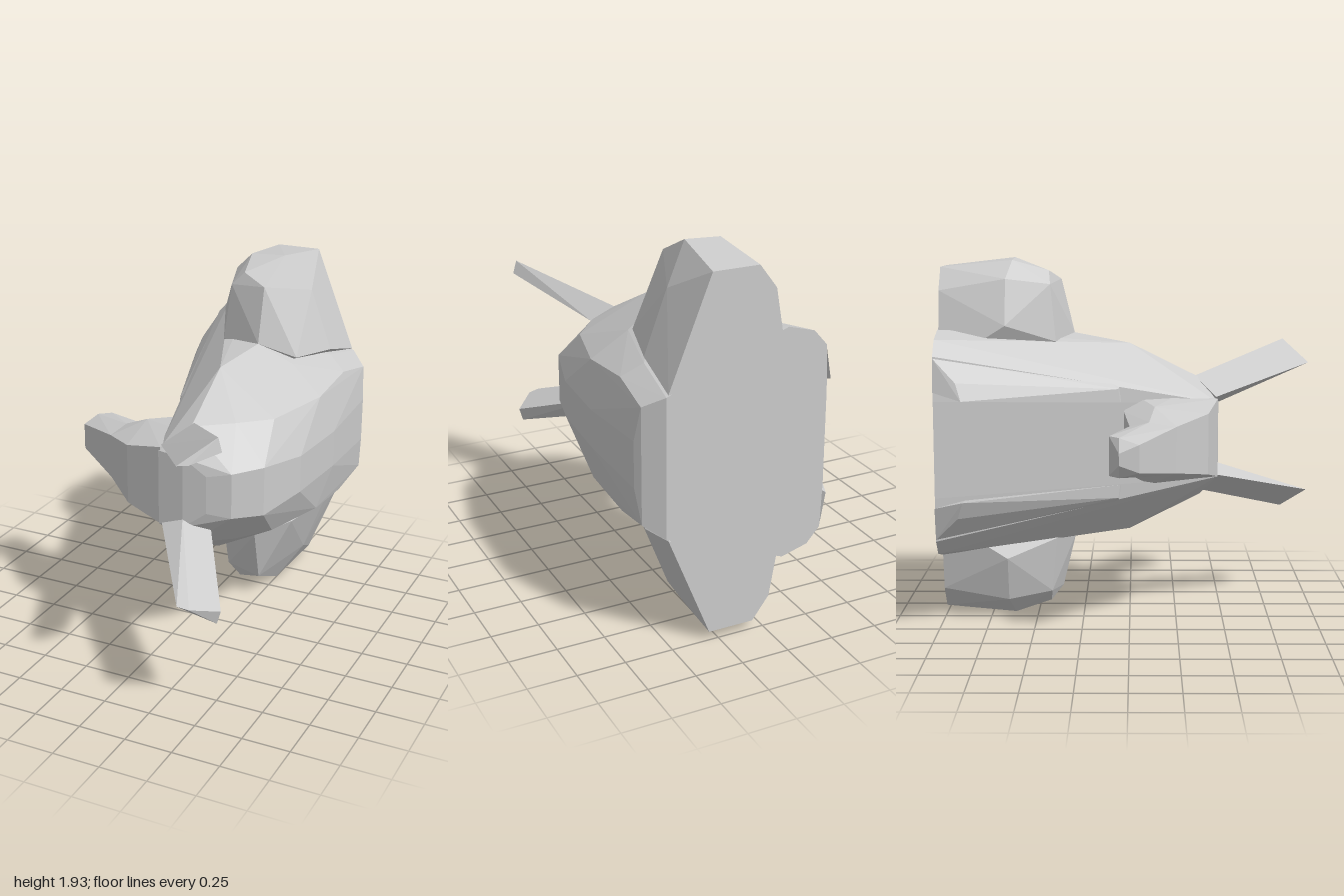
import * as THREE from 'three';
import { ConvexGeometry } from 'three/addons/geometries/ConvexGeometry.js';

const material = new THREE.MeshStandardMaterial({ color: 0xcccccc, flatShading: true });

// Points are [x, half width, z]; side 1 lies above the centre height, -1 below
const oneSide = (list, centre, side) =>
  list.map(([x, h, z]) => new THREE.Vector3(x, centre + side * h, z));

const mirrored = (list, centre) =>
  [...oneSide(list, centre, 1), ...oneSide(list, centre, -1)];

// Faceted solid around a set of corner points
function solid(name, points) {
  const mesh = new THREE.Mesh(new ConvexGeometry(points), material);
  mesh.name = name;
  return mesh;
}

export function createModel() {
  const group = new THREE.Group();
  const mid = 0.965;
  const earMid = 0.985;

  // Rounded skull and neck, cut flat at the back
  group.add(solid('headAndNeck', mirrored([
    [0.04, 0.2, 0.47], [0.18, 0.19, 0.48], [0.3, 0.1, 0.46], [0.42, 0.12, 0.42],
    [0.18, 0.32, 0.38], [0.36, 0.32, 0.24], [0.54, 0.13, 0.29], [0.5, 0.31, 0.08],
    [0.08, 0.33, 0.22], [0.16, 0.51, 0], [0.24, 0.56, -0.3], [0.02, 0.52, -0.39],
    [0.42, 0.46, -0.35], [0.6, 0.32, -0.3], [0.65, 0.1, -0.4], [0.62, 0.1, 0],
    [0.5, 0.42, -0.7], [0.6, 0.35, -0.65], [0.64, 0.12, -0.88], [0.62, 0.3, -0.92],
    [0.53, 0.36, -1], [0.52, 0.1, -1],
    [-0.32, 0.25, -1], [-0.31, 0.48, -1], [-0.24, 0.56, -1], [-0.1, 0.6, -1],
    [0, 0.12, -0.05], [0.02, 0.33, -0.03],
  ], mid)));

  // Cheeks and tapered nose
  group.add(solid('cheeks', mirrored([
    [-0.36, 0.12, 0.24], [-0.34, 0.14, 0.1], [-0.28, 0.11, 0], [-0.17, 0.16, 0.41],
    [-0.2, 0.2, 0.13], [-0.1, 0.16, -0.03], [0.05, 0.21, 0.47], [0.12, 0.24, 0],
    [0.12, 0.24, 0.3],
  ], mid + 0.01)));
  group.add(solid('nose', mirrored([
    [-0.65, 0.03, -0.05], [-0.63, 0.07, 0.05], [-0.6, 0.1, -0.05], [-0.54, 0.1, -0.1],
    [-0.36, 0.12, 0.24], [-0.34, 0.14, 0.1], [-0.28, 0.11, 0],
  ], mid + 0.01)));

  for (const [side, prefix] of [[1, 'upper'], [-1, 'lower']]) {
    // Ridge running from the cheek down the chest, leaving a groove between the pair
    group.add(solid(prefix + 'ChestRidge', oneSide([
      [-0.39, 0.26, -0.85], [-0.36, 0.35, -0.88], [-0.31, 0.43, -0.92], [-0.34, 0.3, -1],
      [-0.26, 0.27, -0.85], [-0.1, 0.22, -0.05], [-0.1, 0.29, -0.06], [0.1, 0.42, 0],
      [0.02, 0.5, -0.3], [0.05, 0.24, 0], [-0.31, 0.47, -1],
    ], mid, side)));

    // Slender ear
    group.add(solid(prefix + 'Ear', oneSide([
      [0.05, 0.21, 0.46], [0.17, 0.16, 0.46], [0.18, 0.31, 0.35], [0.3, 0.23, 0.4],
      [0.55, 0.48, 0.86], [0.57, 0.41, 0.86], [0.4, 0.36, 0.99], [0.46, 0.37, 0.98],
    ], earMid, side)));

    // Shoulder, cut flat at the back
    group.add(solid(prefix + 'Shoulder', oneSide([
      [0, 0.53, -0.39], [0.24, 0.56, -0.3], [0.42, 0.48, -0.4], [0.5, 0.45, -0.7],
      [0.03, 0.83, -0.42], [0.1, 0.9, -0.43], [0.24, 0.85, -0.37], [-0.04, 0.86, -0.65],
      [0.06, 0.955, -0.62], [0.25, 0.965, -0.62], [0.38, 0.77, -0.7], [-0.11, 0.62, -0.65],
      [0.3, 0.92, -1], [0.06, 0.92, -1], [-0.03, 0.8, -1], [-0.05, 0.65, -1],
      [0.38, 0.7, -1], [0.52, 0.37, -1], [-0.1, 0.4, -1], [0.1, 0.3, -0.5],
    ], mid, side)));
  }
  return group;
}
